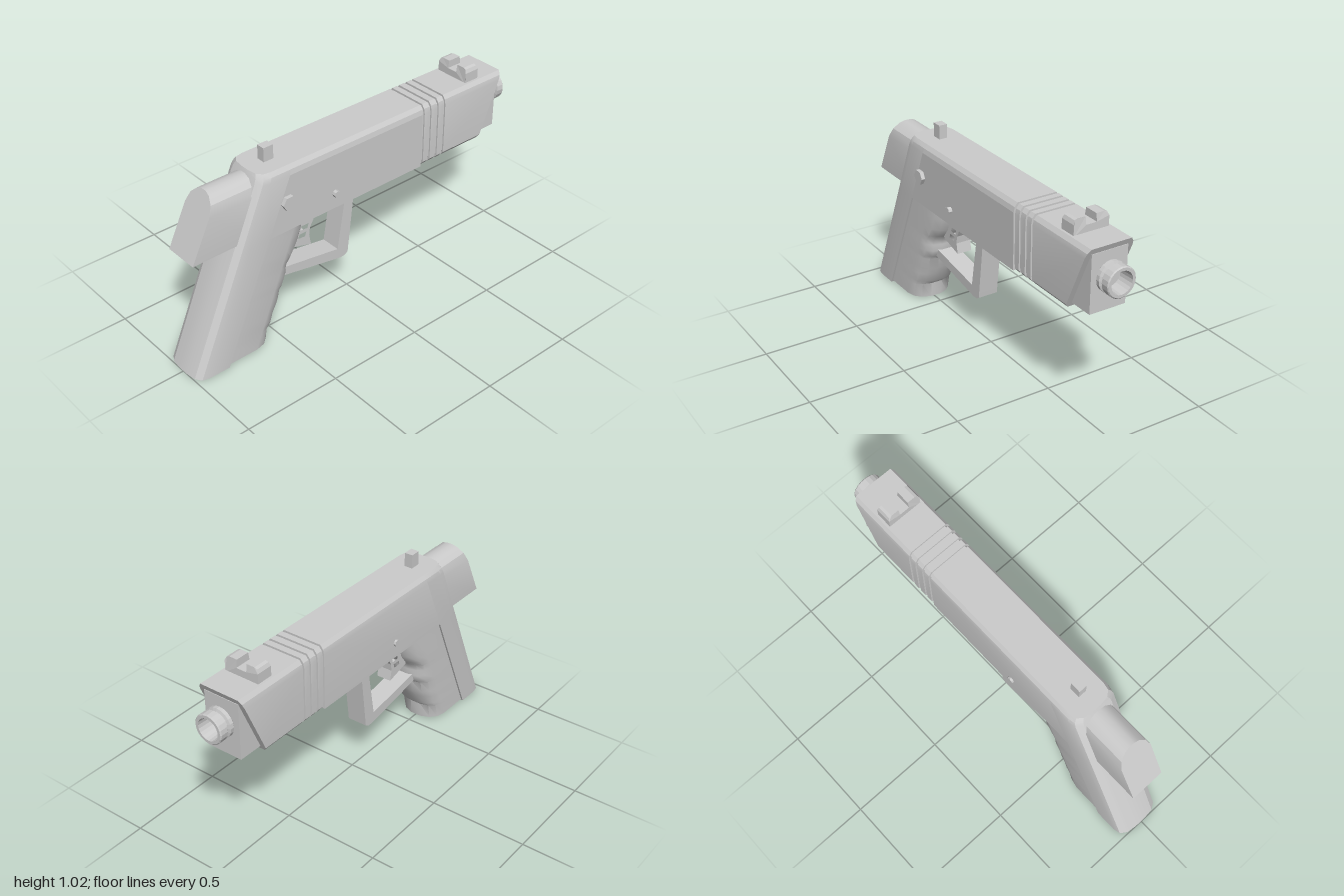
import * as THREE from 'three';
import { toCreasedNormals } from 'three/addons/utils/BufferGeometryUtils.js';

const HW = 0.1255; // half width of the body
const mat = new THREE.MeshStandardMaterial({ color: 0xcccccc });
const flat = new THREE.MeshStandardMaterial({ color: 0xcccccc, flatShading: true, side: THREE.DoubleSide });

// Closed skin over a list of rings of [x, y, z], capped at both ends
function loft(rings, crease = 0.4) {
  const pos = [], n = rings[0].length;
  const mid = (r) => [0, 1, 2].map((k) => r.reduce((s, p) => s + p[k], 0) / n);
  const tris = [];
  for (let j = 0; j < n; j++) {
    const k = (j + 1) % n;
    for (let i = 0; i + 1 < rings.length; i++) {
      const a = rings[i], b = rings[i + 1];
      tris.push([a[j], a[k], b[k]], [a[j], b[k], b[j]]);
    }
    const first = rings[0], last = rings[rings.length - 1];
    tris.push([mid(first), first[k], first[j]], [mid(last), last[j], last[k]]);
  }
  // a negative volume means the faces point inwards
  let volume = 0;
  for (const t of tris) {
    const [a, b, c] = t.map((p) => new THREE.Vector3(...p));
    volume += a.dot(b.cross(c));
  }
  for (const t of tris) pos.push(...(volume < 0 ? [t[0], t[2], t[1]] : t).flat());
  const g = new THREE.BufferGeometry();
  g.setAttribute('position', new THREE.Float32BufferAttribute(pos, 3));
  g.computeVertexNormals();
  return toCreasedNormals(g, crease);
}

// Side outline in [z, y], given thickness from x0 to x1
function sidePlate(points, x0, x1, holes = []) {
  const toVec = (pts) => pts.map(([z, y]) => new THREE.Vector2(-z, y));
  const shape = new THREE.Shape(toVec(points));
  holes.forEach((h) => shape.holes.push(new THREE.Path(toVec(h))));
  const g = new THREE.ExtrudeGeometry(shape, { depth: x1 - x0, bevelEnabled: false });
  return g.rotateY(Math.PI / 2).translate(x0, 0, 0);
}

const backZ = (y) => 1.0 - 0.434 * y;    // slanted rear edge
const seamZ = (y) => 0.824 - 0.433 * y;  // seam between backstrap and grip
const noseZ = (y) => -0.92 + (0.945 - y) * 0.43; // slanted front edge
const mirrorLoop = (half) => [...half, ...half.slice().reverse().map(([x, y]) => [-x, y])];

export function createModel() {
  const model = new THREE.Group();
  const add = (name, geometry, material = mat) => {
    const mesh = new THREE.Mesh(geometry, material);
    mesh.name = name;
    model.add(mesh);
    return mesh;
  };

  // Rear slide: a core plus a side plate that holds the recessed window
  const top = [[HW, 0.9], [0.12, 0.925], [0.105, 0.945]];
  const coreLoop = [[0.105, 0.61], [0.105, 0.9], ...top, ...top.slice().reverse().map(([x, y]) => [-x, y]), [-HW, 0.61]];
  add('slideRear', loft([
    coreLoop.map(([x, y]) => [x, y, -0.375]),
    coreLoop.map(([x, y]) => [x, y, seamZ(y)]),
  ]));
  add('slideSidePlate', sidePlate(
    [[-0.375, 0.61], [seamZ(0.61), 0.61], [seamZ(0.9), 0.9], [-0.375, 0.9]], 0.105, HW,
    [[[0.01, 0.78], [0.02, 0.77], [0.255, 0.77], [0.255, 0.862], [0.02, 0.866], [0.01, 0.86]]]));

  // Front slide with four grooves and a slanted nose
  const frontLoop = mirrorLoop([[0.11, 0.61], [HW, 0.63], ...top]);
  const ring = (z, s) => frontLoop.map(([x, y]) => [x * s, 0.7775 + (y - 0.7775) * s, z]);
  const rings = [];
  for (const z of [-0.375, -0.42, -0.468, -0.513]) {
    rings.push(ring(z, 0.94), ring(z - 0.014, 0.94), ring(z - 0.014, 1));
    if (z > -0.5) rings.push(ring(z === -0.375 ? -0.42 : z === -0.42 ? -0.468 : -0.513, 1));
  }
  rings.push(frontLoop.map(([x, y]) => [x, y, noseZ(y)]));
  add('slideFront', loft(rings));

  // Block below the nose
  add('noseBlock', new THREE.BoxGeometry(0.19, 0.285, 0.25).translate(0, 0.7725, -0.785));

  // Muzzle tube with collar, neck and hollow end
  const tube = [[0.06, 0.85], [0.06, 0.915], [0.07, 0.915], [0.075, 0.92], [0.075, 0.938], [0.062, 0.943], [0.062, 0.953],
    [0.075, 0.958], [0.075, 0.995], [0.07, 1], [0.056, 1], [0.052, 0.92], [0, 0.92]];
  add('muzzle', new THREE.LatheGeometry(tube.map((p) => new THREE.Vector2(...p)), 20)
    .rotateX(-Math.PI / 2).translate(0, 0.797, 0), flat);

  // Backstrap running from the base up to the top of the slide
  const strapRing = (y, s) => {
    const b = backZ(y), half = [[HW, seamZ(y)], [HW, b - 0.065], [0.117, b - 0.028], [0.085, b - 0.007], [0.03, b]];
    return mirrorLoop(half).map(([x, z]) => [x * s, y, z]);
  };
  add('backstrap', loft([[0, 1], [0.61, 1], [0.9, 1], [0.925, 0.956], [0.945, 0.837]].map(([y, s]) => strapRing(y, s))));

  // Grip with finger grooves, [front z, y] from top to bottom
  const fingers = [[0.303, 0.615], [0.32, 0.56], [0.345, 0.49], [0.383, 0.44], [0.418, 0.41], [0.426, 0.375], [0.422, 0.34],
    [0.44, 0.3], [0.463, 0.28], [0.472, 0.215], [0.503, 0.17], [0.515, 0.12], [0.548, 0.09], [0.555, 0.008]];
  add('grip', loft(fingers.map(([f, y]) => {
    const side = 0.66 - 0.41 * y;
    const half = [[0.116, seamZ(y) + 0.02], [0.116, side], [0.104, f + (side - f) * 0.5], [0.075, f + (side - f) * 0.18], [0.03, f]];
    return mirrorLoop(half).map(([x, z]) => [x, y, z]);
  }), 0.7));

  // Rounded tail piece with sheared ends
  const arch = mirrorLoop([[0.09, 0.628], [0.09, 0.84], [0.075, 0.887], [0.043, 0.917], [0.015, 0.926]]);
  add('tail', loft([
    arch.map(([x, y]) => [x, y, seamZ(y) + 0.06]),
    arch.map(([x, y]) => [x, y, 0.81 + (0.926 - y) * 0.485]),
  ], 0.5));

  // Trigger with three slots, and its guard
  const slot = (z, y) => [[z, y - 0.012], [z + 0.042, y - 0.009], [z + 0.034, y + 0.013], [z - 0.008, y + 0.012]];
  add('trigger', sidePlate(
    [[0.303, 0.63], [0.19, 0.63], [0.19, 0.61], [0.235, 0.535], [0.26, 0.49], [0.265, 0.45], [0.255, 0.395], [0.385, 0.43], [0.4, 0.5]],
    -0.04, 0.04, [slot(0.255, 0.555), slot(0.275, 0.508), slot(0.29, 0.466)]));
  add('triggerGuard', sidePlate(
    [[-0.008, 0.62], [0.033, 0.275], [0.036, 0.25], [0.055, 0.238], [0.085, 0.236], [0.48, 0.31], [0.48, 0.355],
      [0.1, 0.295], [0.045, 0.62]], -0.053, 0.053));

  // Notched sight at the nose, single post at the rear
  const notch = [[0.093, 0.935], [0.093, 0.995], [0.085, 1.013], [0.07, 1.018], [0.028, 1.018], [0.028, 0.98]];
  const notchShape = new THREE.Shape(mirrorLoop(notch).map((p) => new THREE.Vector2(...p)));
  const notchGeo = new THREE.ExtrudeGeometry(notchShape, { depth: 0.085, bevelEnabled: false }).translate(0, 0, -0.777);
  const np = notchGeo.attributes.position;
  for (let i = 0; i < np.count; i++) {
    if (np.getY(i) > 1) np.setZ(i, -0.7345 + (np.getZ(i) + 0.7345) * 0.85);
  }
  notchGeo.computeVertexNormals();
  add('notchedSight', notchGeo);
  add('postSight', new THREE.BoxGeometry(0.044, 0.08, 0.054).translate(0, 0.977, 0.472));

  // Cross pin through both sides and a six-sided button on one side
  const rod = (r, x0, x1, y, z, n) => new THREE.CylinderGeometry(r, r, x1 - x0, n)
    .rotateZ(Math.PI / 2).translate((x0 + x1) / 2, y, z);
  add('crossPin', rod(0.018, -0.137, 0.1455, 0.693, 0.174, 8), flat);
  add('sideButton', rod(0.038, 0.1, 0.1455, 0.767, 0.453, 6), flat);

  model.children.forEach((m) => { m.position.x = -0.0045; });
  return model;
}
